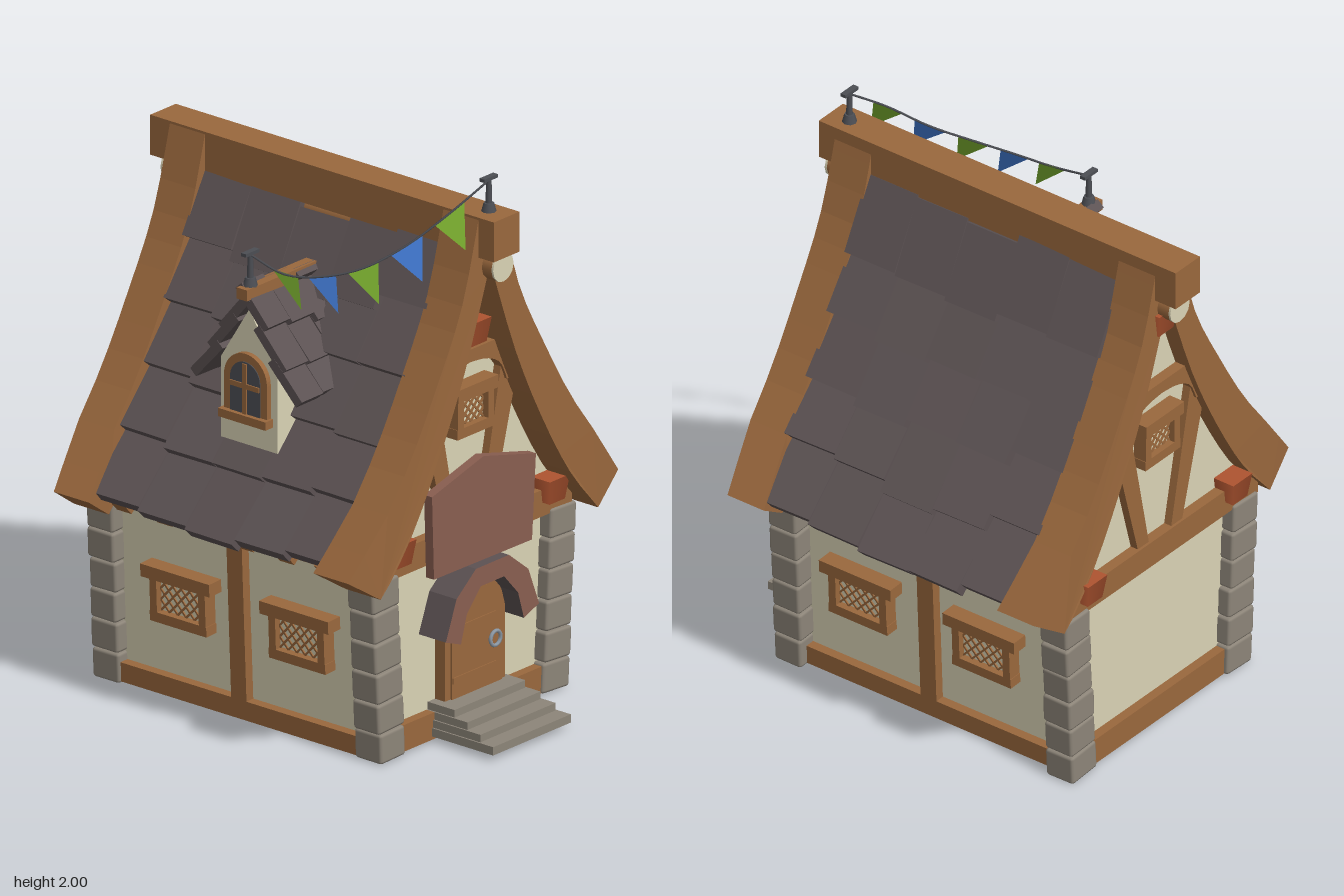
import * as THREE from 'three';
import { RoundedBoxGeometry } from 'three/addons/geometries/RoundedBoxGeometry.js';

const mat = (name, color, side = THREE.FrontSide) =>
  Object.assign(new THREE.MeshStandardMaterial({ color, side }), { name });
const M = {
  timber: mat('timber', 0x9a683d), plaster: mat('plaster', 0xdad3b5),
  stone: mat('stone', 0x8d8579), slate: mat('slate', 0x5c5253),
  brick: mat('painted beam ends', 0xae5430), plank: mat('red plank', 0x895e50),
  iron: mat('iron', 0x4c4e54), steel: mat('steel', 0x8d99a5),
  green: mat('green cloth', 0x76a82e, THREE.DoubleSide), blue: mat('blue cloth', 0x3f76cc, THREE.DoubleSide),
};
let seed = 7;
const rnd = (a) => { seed = (seed * 16807) % 2147483647; return (seed / 2147483647 - 0.5) * 2 * a; };

function add(parent, name, geo, material, x = 0, y = 0, z = 0) {
  const m = new THREE.Mesh(geo, material);
  m.name = name; m.position.set(x, y, z); parent.add(m);
  return m;
}
// box given by centre and size
const box = (p, name, material, x, y, z, w, h, d) => add(p, name, new THREE.BoxGeometry(w, h, d), material, x, y, z);
function group(parent, name, x = 0, y = 0, z = 0, ry = 0) {
  const g = new THREE.Group();
  g.name = name; g.position.set(x, y, z); g.rotation.y = ry; parent.add(g);
  return g;
}
const shapeOf = (pts) => new THREE.Shape(pts.map(([x, y]) => new THREE.Vector2(x, y)));
const extrude = (shape, depth) => new THREE.ExtrudeGeometry(shape, { depth, bevelEnabled: false, curveSegments: 10 });
const spline = (pts, n = 12) => new THREE.SplineCurve(pts.map(([x, y]) => new THREE.Vector2(x, y))).getPoints(n).map((p) => [p.x, p.y]);
const mirror = (pts) => pts.map(([x, y]) => [-x, y]).reverse();
function archShape(r, y0, ySpring) {
  const s = new THREE.Shape();
  s.moveTo(-r, y0); s.lineTo(r, y0); s.lineTo(r, ySpring);
  s.absarc(0, ySpring, r, 0, Math.PI); s.lineTo(-r, y0);
  return s;
}

// sweeping roof profiles, from ridge to eave on one side
const OUTER = spline([[0.06, 1.87], [0.145, 1.58], [0.274, 1.33], [0.442, 1.055], [0.695, 0.735]]);
const INNER = spline([[0.012, 1.66], [0.13, 1.34], [0.26, 1.07], [0.41, 0.82], [0.56, 0.645]]);
const MIDDLE = OUTER.map(([x, y], i) => [(x + INNER[i][0]) / 2, (y + INNER[i][1]) / 2]);
const SLATES = [[0.06, 1.735], [0.118, 1.55], [0.237, 1.31], [0.398, 1.03], [0.607, 0.735]];

// arched strip between two half profiles, mirrored over x = 0
const archStrip = (outer, inner) => shapeOf([...mirror(outer), ...outer, ...inner.slice().reverse(), ...inner.map(([x, y]) => [-x, y])]);

// curved board along a gable edge, its tips bent inward
function bargeBoard(root, name, z, ry) {
  const geo = extrude(archStrip(OUTER, INNER), 0.155);
  const p = geo.attributes.position;
  for (let i = 0; i < p.count; i++) p.setZ(i, p.getZ(i) - 0.2 * Math.max(0, Math.abs(p.getX(i)) - 0.54));
  geo.computeVertexNormals();
  add(group(root, name, 0, 0, z, ry), name, geo, M.timber);
}

// overlapping tiles laid down a profile that falls toward local +x
function slope(root, name, profile, rows, cols, width, thick, pos, ry, shift = []) {
  const g = group(root, name, ...pos, ry);
  const curve = new THREE.SplineCurve(profile.map(([x, y]) => new THREE.Vector2(x, y)));
  const w = width / cols;
  for (let c = 0; c < cols; c++) for (let r = 0; r < rows; r++) {
    const a = curve.getPointAt(r / rows), b = curve.getPointAt((r + 1) / rows);
    const d = b.clone().sub(a), len = d.length();
    d.normalize();
    const slide = (shift[c] || 0) + (r < rows - 1 ? rnd(0.025) : rnd(0.008));
    const m = a.add(b).multiplyScalar(0.5).addScaledVector(d, slide - 0.012);
    const t = box(g, 'tile', M.slate, m.x, m.y, (c + 0.5) * w - width / 2, len + 0.05, thick, w - 0.002);
    t.rotation.set(0, rnd(0.025), Math.atan2(d.y, d.x) + 0.17 + rnd(0.025));
  }
}

// framed window facing local +z, origin at the middle of the pane; the frame passes through the wall
function latticeWindow(root, x, y, z, w, h, nx, ny, lintel) {
  const g = group(root, 'window', x, y, z), j = 0.03;
  box(g, 'pane', M.plaster, 0, 0, 0, w, h, 0.03);
  for (const s of [-1, 1]) box(g, 'jamb', M.timber, s * (w + j) / 2, 0, -0.005, j, h + 0.02, 0.09);
  box(g, 'lintel', M.timber, 0, h / 2 + 0.022, 0, lintel, 0.046, 0.1);
  box(g, 'sill', M.timber, 0, -h / 2 - 0.02, -0.005, w + 0.065, 0.036, 0.09);
  const cw = w / nx, ch = h / ny;
  for (let i = 0; i < nx; i++) for (let k = 0; k < ny; k++) for (const s of [-1, 1])
    box(g, 'lattice', M.timber, (i + 0.5) * cw - w / 2, (k + 0.5) * ch - h / 2, 0.017, Math.hypot(cw, ch), 0.007, 0.006)
      .rotation.z = s * Math.atan2(ch, cw);
}

// end wall with timber framing, facing local +z
function gable(root, name, z, ry, topBlockY) {
  const g = group(root, name, 0, 0, z, ry);
  const dx = ry ? -0.012 : 0.012;
  const half = [...MIDDLE, [0.46, 0.66], [0.43, 0.01]];
  add(g, 'gableWall', extrude(shapeOf([...mirror(half), ...half]), 0.03), M.plaster, 0, 0, -0.03);
  box(g, 'baseBeam', M.timber, dx, 0.058, 0, 0.8, 0.096, 0.07);
  box(g, 'crossBeam', M.timber, 0, 0.697, 0, 1.04, 0.096, 0.08);
  const under = spline([[0.185, 1.2], [0.15, 1.27], [0.08, 1.305], [0, 1.315]], 8);
  add(g, 'archedCollar', extrude(shapeOf([[-0.15, 1.36], [0.15, 1.36], [0.21, 1.2], ...under, ...mirror(under)].reverse()), 0.05), M.timber, 0, 0, -0.01);
  for (const s of [-1, 1]) {
    const pts = [[s * 0.235, 1.16], [s * 0.165, 1.25], [s * 0.06, 0.74], [s * 0.12, 0.74]];
    add(g, 'brace', extrude(shapeOf(pts), 0.04), M.timber, 0, 0, -0.01);
  }
  latticeWindow(g, dx, 1.147, 0.012, 0.125, 0.1, 4, 3, 0.205);
  for (const [x, y] of [[-0.395, 0.742], [0.395, 0.742], [-0.008, topBlockY]]) {
    const b = new THREE.CylinderGeometry(0.073, 0.056, 0.087, 4);
    b.rotateY(Math.PI / 4);
    add(g, 'beamEnd', b, M.brick, x + dx, y, 0.032);
  }
  return g;
}

// long wall with two windows, facing local +z, leaning slightly outward
function sideWall(root, s) {
  const g = group(root, 'sideWall', s * 0.43, 0, -0.075, s * Math.PI / 2);
  const w = group(g, 'leaningWall');
  w.rotation.x = 0.044;
  box(w, 'wallPanel', M.plaster, 0, 0.36, -0.015, 1.16, 0.7, 0.03);
  box(w, 'baseBeam', M.timber, 0, 0.045, 0, 1.14, 0.07, 0.07);
  box(w, 'topBeam', M.timber, 0, 0.7, 0, 1.14, 0.065, 0.08);
  box(w, 'post', M.timber, 0, 0.36, -0.01, 0.068, 0.66, 0.09);
  for (const x of [-0.263, 0.263]) latticeWindow(w, x - s * 0.017, 0.378, 0.012, 0.185, 0.12, 5, 3, 0.305);
  for (let i = 0; i < 6; i++) box(g, 'rafterEnd', M.timber, -0.45 + i * 0.18, 0.725, 0.07, 0.065, 0.05, 0.14).rotation.x = 0.75;
}

function finial(root, x, y, z) {
  const g = group(root, 'finial', x, y, z);
  add(g, 'foot', new THREE.CylinderGeometry(0.018, 0.026, 0.03, 8), M.iron, 0, 0.015, 0);
  add(g, 'rod', new THREE.CylinderGeometry(0.009, 0.012, 0.12, 8), M.iron, 0, 0.065, 0);
  box(g, 'crossbar', M.iron, 0, 0.119, 0, 0.07, 0.012, 0.022);
}

export function createModel() {
  const root = new THREE.Group();
  root.name = 'cottage';

  // walls
  const front = gable(root, 'frontGable', 0.51, 0, 1.43);
  gable(root, 'backGable', -0.665, Math.PI, 1.625);
  for (const s of [-1, 1]) sideWall(root, s);

  // stacked stone corners
  for (const s of [-1, 1]) for (const z of [0.5, -0.657]) {
    const g = group(root, 'stoneCorner', 0.012);
    for (let i = 0; i < 6; i++) {
      const m = add(g, 'stoneBlock', new RoundedBoxGeometry(0.132 + rnd(0.006), 0.108, 0.116 + rnd(0.004), 1, 0.011), M.stone,
        s * (0.423 + i * 0.0068), 0.058 + i * 0.11, z);
      m.rotation.set(0, rnd(0.03), -s * 0.05 + rnd(0.02));
    }
  }

  // roof
  bargeBoard(root, 'frontBargeBoard', 0.48, 0);
  bargeBoard(root, 'backBargeBoard', -0.575, Math.PI);
  box(root, 'ridgeBeam', M.timber, 0.005, 1.803, -0.057, 0.132, 0.144, 1.52);
  add(root, 'ridgeLog', new THREE.CylinderGeometry(0.052, 0.052, 1.46, 12).rotateX(Math.PI / 2), M.timber, 0.008, 1.69, -0.05);
  for (const s of [-1, 1]) add(root, 'logEnd', new THREE.CylinderGeometry(0.053, 0.053, 0.008, 12).rotateX(Math.PI / 2), M.plaster, 0.008, 1.69, -0.05 + s * 0.732);
  const deck = spline(SLATES).slice(0, 10).map(([x, y]) => [x - 0.043, y - 0.03]);
  const deckIn = deck.map(([x, y]) => [x - 0.012, y - 0.012]);
  add(root, 'roofDeck', extrude(archStrip(deck, deckIn), 1.07), M.plaster, 0, 0, -0.58);
  const shift = [0, 0.025, 0.04, 0.022, 0.005];
  slope(root, 'rightRoofTiles', SLATES, 5, 5, 1.075, 0.05, [0.016, 0, -0.045], 0, shift);
  slope(root, 'leftRoofTiles', SLATES, 5, 5, 1.075, 0.05, [0.008, 0, -0.045], Math.PI, shift);

  // dormer, facing -x
  const dormer = group(root, 'dormer', -0.455, 0, -0.04, -Math.PI / 2);
  add(dormer, 'dormerWall', extrude(shapeOf([[-0.125, 1.0], [0.125, 1.0], [0.125, 1.29], [0, 1.49], [-0.125, 1.29]]), 0.22), M.plaster, 0, 0, -0.22);
  add(dormer, 'windowFrame', extrude(archShape(0.095, 1.1, 1.24), 0.02), M.timber);
  add(dormer, 'windowPane', extrude(archShape(0.066, 1.12, 1.24), 0.005), M.iron, 0, 0, 0.018);
  box(dormer, 'mullion', M.timber, 0, 1.21, 0.021, 0.018, 0.18, 0.014);
  box(dormer, 'transom', M.timber, 0, 1.22, 0.021, 0.13, 0.018, 0.014);
  box(dormer, 'sill', M.timber, 0, 1.105, 0.01, 0.21, 0.03, 0.06);
  const small = [[0.01, 1.535], [0.085, 1.41], [0.155, 1.3], [0.215, 1.21]];
  for (const s of [-1, 1]) slope(root, 'dormerTiles', small, 3, 3, 0.35, 0.035, [-0.3, 0, -0.04], -s * Math.PI / 2);
  box(root, 'dormerRidge', M.timber, -0.315, 1.555, -0.04, 0.36, 0.04, 0.046);

  // doorway
  add(front, 'doorFrame', extrude(archShape(0.155, 0.1, 0.38), 0.045), M.timber, 0.015);
  add(front, 'door', extrude(archShape(0.128, 0.1, 0.38), 0.008), M.timber, 0.015, 0, 0.045);
  add(front, 'doorLining', extrude(archShape(0.128, 0.1, 0.38), 0.008), M.steel, 0.015, 0, -0.037);
  for (const y of [0.2, 0.38]) box(front, 'doorStrap', M.timber, 0.0, y, 0.054, 0.22, 0.022, 0.006);
  add(front, 'doorRing', new THREE.TorusGeometry(0.026, 0.007, 6, 16), M.steel, 0.103, 0.295, 0.06);
  const hood = [[-0.24, 0.39], [-0.185, 0.53], [-0.085, 0.61], [0.085, 0.61], [0.185, 0.53], [0.24, 0.39],
    [0.162, 0.36], [0.132, 0.46], [0.06, 0.54], [-0.06, 0.54], [-0.132, 0.46], [-0.162, 0.36]];
  add(front, 'doorHood', extrude(shapeOf(hood), 0.12), [M.plank, M.slate], 0.017);
  const sign = [[-0.255, 0.62], [0.25, 0.615], [0.27, 0.92], [0, 0.99], [-0.265, 0.92]];
  add(front, 'signBoard', extrude(shapeOf(sign), 0.035), M.plank, 0, 0, 0.06);

  // steps, solid down to the ground course
  for (let i = 0; i < 4; i++) {
    const top = 0.052 + i * 0.027, zFront = 0.815 - i * 0.062;
    box(root, 'step', M.stone, 0.005, (top + 0.022) / 2, (zFront + 0.46) / 2, 0.4 - i * 0.012, top - 0.022, zFront - 0.46);
  }

  // finials and bunting
  finial(root, 0.01, 1.875, 0.62);
  finial(root, -0.45, 1.574, -0.04);
  const line = new THREE.CatmullRomCurve3([[0.01, 1.985, 0.62], [-0.12, 1.89, 0.56], [-0.24, 1.785, 0.47], [-0.35, 1.71, 0.37],
    [-0.42, 1.67, 0.25], [-0.455, 1.655, 0.12], [-0.45, 1.685, -0.04]].map((p) => new THREE.Vector3(...p)));
  add(root, 'buntingLine', new THREE.TubeGeometry(line, 30, 0.004, 5), M.iron);
  for (let i = 1; i < 6; i++) {
    const a = line.getPoint(i / 6 - 0.06), b = line.getPoint(i / 6 + 0.06);
    const tip = a.clone().add(b).multiplyScalar(0.5).add(new THREE.Vector3(-0.01, -0.11, 0.08));
    const geo = new THREE.BufferGeometry().setFromPoints([a, tip, b]);
    geo.computeVertexNormals();
    add(root, 'pennant', geo, i % 2 ? M.green : M.blue);
  }
  return root;
}
